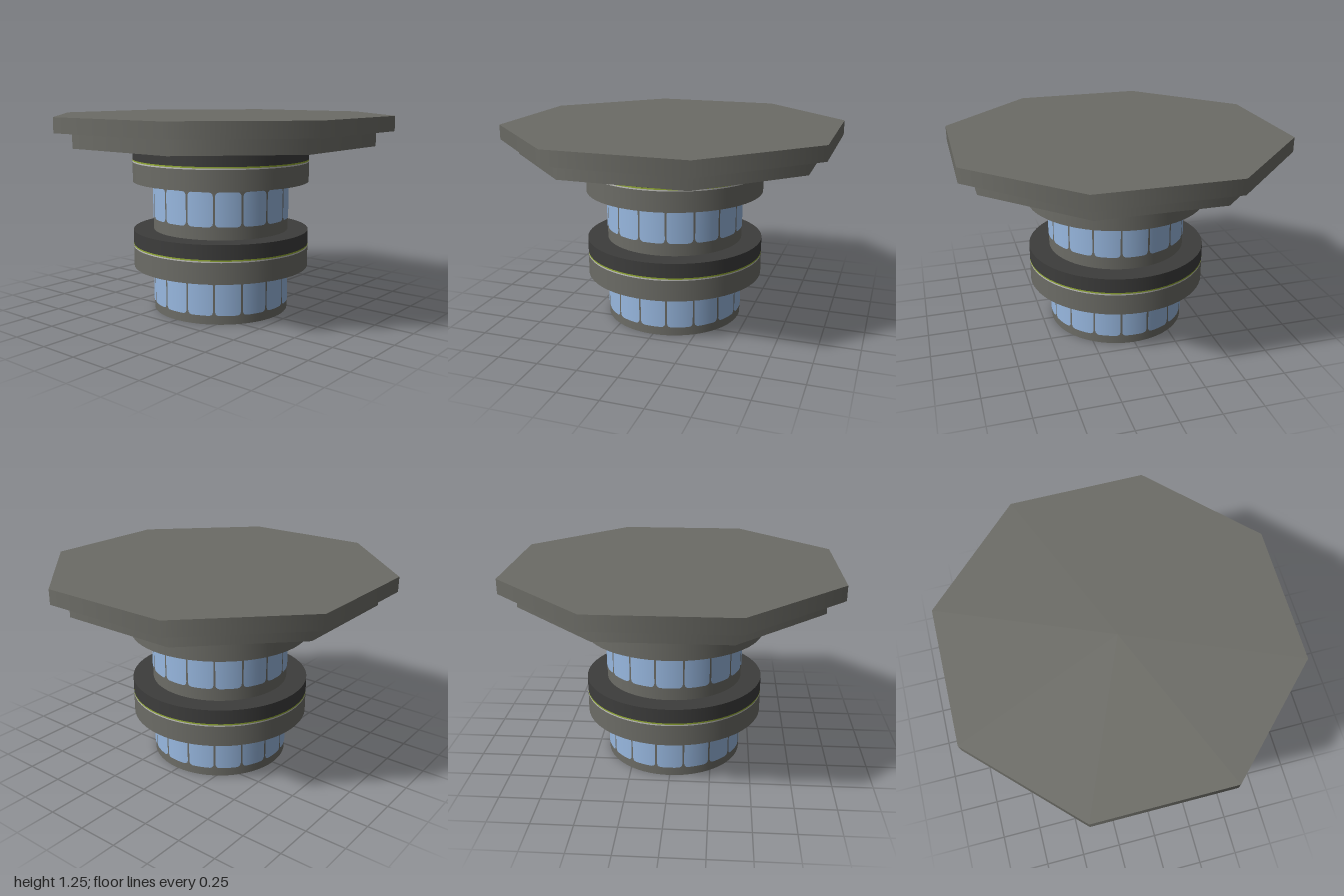
import * as THREE from 'three';

const mat = (name, color) => {
  const m = new THREE.MeshStandardMaterial({ color });
  m.name = name;
  return m;
};

export function createModel() {
  const model = new THREE.Group();
  model.name = 'tower';
  const hull = mat('hull grey', 0x6c6c66);
  const dark = mat('dark grey', 0x3d3d3c);
  const glass = mat('window blue', 0x98b8e0);
  const green = mat('stripe green', 0x93ab35);
  const pale = mat('stripe pale grey', 0xc2c2be);

  // Upright drum between two heights
  const drum = (name, r, y0, y1, material, sides = 64, turn = 0) => {
    const g = new THREE.CylinderGeometry(r, r, y1 - y0, sides, 1, false, turn);
    const mesh = new THREE.Mesh(g, material);
    mesh.name = name;
    mesh.position.y = (y0 + y1) / 2;
    model.add(mesh);
  };

  // Window pane with rounded corners, wrapped around the neck
  const paneGeometry = (r, halfAngle, halfHeight, corner) => {
    const offsets = [-1, -0.95, -0.85, -0.7, -0.35, 0, 0.35, 0.7, 0.85, 0.95, 1];
    const pos = [], nor = [], index = [];
    offsets.forEach((t, i) => {
      const a = t * halfAngle;
      const into = Math.max(0, corner - (1 - Math.abs(t)) * halfAngle * r);
      const h = halfHeight - corner + Math.sqrt(Math.max(0, corner * corner - into * into));
      for (const y of [-h, h]) {
        pos.push(Math.sin(a) * r, y, Math.cos(a) * r);
        nor.push(Math.sin(a), 0, Math.cos(a));
      }
      if (i > 0) {
        const k = i * 2;
        index.push(k - 2, k, k + 1, k - 2, k + 1, k - 1);
      }
    });
    const g = new THREE.BufferGeometry();
    g.setAttribute('position', new THREE.Float32BufferAttribute(pos, 3));
    g.setAttribute('normal', new THREE.Float32BufferAttribute(nor, 3));
    g.setIndex(index);
    return g;
  };
  const pane = paneGeometry(0.437, Math.PI / 16 - 0.013, 0.105, 0.025);

  // Two matching storeys: windowed neck below a striped collar
  [
    { name: 'lower', base: 0, neckTop: 0.285, stripe: 0.415, top: 0.522, windowY: 0.16 },
    { name: 'upper', base: 0.522, neckTop: 0.832, stripe: 0.957, top: 1.07, windowY: 0.705 },
  ].forEach((s) => {
    drum(s.name + 'Neck', 0.434, s.base, s.neckTop, hull);
    drum(s.name + 'Collar', 0.564, s.neckTop, s.stripe, hull);
    drum(s.name + 'PaleStripe', 0.564, s.stripe, s.stripe + 0.008, pale);
    drum(s.name + 'GreenStripe', 0.564, s.stripe + 0.008, s.stripe + 0.017, green);
    drum(s.name + 'CollarCap', 0.564, s.stripe + 0.017, s.top, dark);

    const windows = new THREE.Group();
    windows.name = s.name + 'Windows';
    for (let i = 0; i < 16; i++) {
      const w = new THREE.Mesh(pane, glass);
      w.name = 'window';
      w.position.y = s.windowY;
      w.rotation.y = (i * Math.PI) / 8;
      windows.add(w);
    }
    model.add(windows);
  });

  // Stepped octagonal deck, flats facing the axes
  const k = 1 / Math.cos(Math.PI / 8);
  drum('deckStep', 0.9 * k, 1.07, 1.162, hull, 8, Math.PI / 8);
  drum('deck', k, 1.162, 1.253, hull, 8, Math.PI / 8);

  return model;
}
